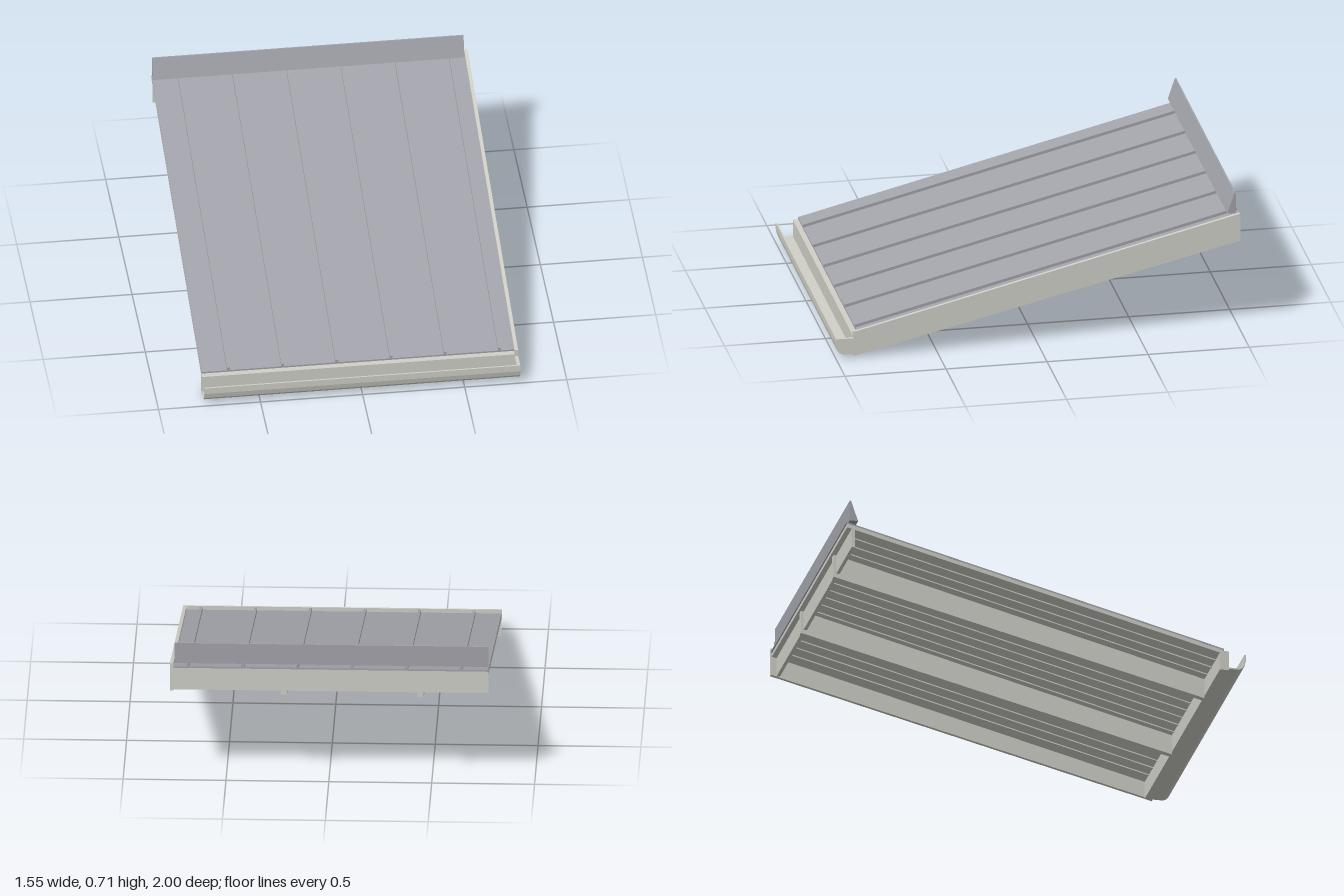
import * as THREE from 'three';

const cream = new THREE.MeshStandardMaterial({ color: 0xd0d0c8 });
cream.name = 'creamTrim';
const grey = new THREE.MeshStandardMaterial({ color: 0xa3a3ab });
grey.name = 'greyRoofMetal';

const LEFT = -0.775, RIGHT = 0.756;
const FRONT = 0.89, BACK = -1;

// height of the roof sheet at depth z
const roofY = (z) => 0.125 + 0.2487 * (FRONT - z);

// extrude a [z, y] outline across the roof from x0 to x1
function slab(name, outline, x0, x1, material) {
  const shape = new THREE.Shape(outline.map(([z, y]) => new THREE.Vector2(z, y)));
  const geo = new THREE.ExtrudeGeometry(shape, { depth: x1 - x0, bevelEnabled: false });
  geo.rotateY(-Math.PI / 2);
  geo.translate(x1, 0, 0);
  const mesh = new THREE.Mesh(geo, material);
  mesh.name = name;
  return mesh;
}

// sloping bar that follows the roof, between two offsets from its surface
function sloped(name, x0, x1, zFront, zBack, low, high, material) {
  return slab(name, [
    [zFront, roofY(zFront) + low], [zFront, roofY(zFront) + high],
    [zBack, roofY(zBack) + high], [zBack, roofY(zBack) + low],
  ], x0, x1, material);
}

export function createModel() {
  const model = new THREE.Group();
  model.name = 'leanToRoof';

  // roof sheet, deck below it
  model.add(sloped('roofSheet', LEFT, RIGHT, FRONT, BACK, -0.008, 0, grey));
  model.add(sloped('roofDeck', LEFT, RIGHT, FRONT - 0.005, BACK + 0.005, -0.028, -0.0082, cream));

  // standing seams
  for (let i = 0; i < 6; i++) {
    const x = -0.643 + i * 0.2655;
    model.add(sloped('standingSeam', x - 0.007, x + 0.007, FRONT, BACK, -0.004, 0.015, grey));
  }

  // narrow battens under the deck
  for (let i = 1; i < 18; i++) {
    const x = LEFT + i * (RIGHT - LEFT) / 18;
    model.add(sloped('deckBatten', x - 0.004, x + 0.004, 0.87, -0.955, -0.034, -0.027, cream));
  }

  // rafters
  for (const x of [-0.445, 0.22]) {
    model.add(slab('rafter', [
      [0.87, 0], [0.87, roofY(0.87) - 0.02],
      [-0.985, roofY(-0.985) - 0.02], [-0.985, 0.445],
    ], x - 0.015, x + 0.015, cream));
  }

  // boards closing the eave and the top end
  model.add(slab('eaveBoard', [
    [0.915, 0.012], [0.915, 0.113], [0.87, 0.113], [0.87, 0.012],
  ], LEFT, RIGHT, cream));
  model.add(slab('backBoard', [
    [-0.955, 0.463], [-0.955, 0.563], [-0.972, 0.563], [-0.972, 0.463],
  ], LEFT, RIGHT, cream));

  // gutter trough, open at the top and at one end
  const outer = [[0.915, 0.02], [0.965, 0.02], [0.982, 0.028], [0.993, 0.042], [1, 0.07], [1, 0.103]];
  const inner = [[0.992, 0.103], [0.992, 0.072], [0.986, 0.046], [0.977, 0.034], [0.963, 0.027], [0.915, 0.027]];
  model.add(slab('gutter', [...outer, ...inner], LEFT, RIGHT, cream));

  // side board with the gutter end cap
  model.add(slab('sideBoard', [
    [0.91, 0.01], [0.91, 0.02], ...outer.slice(1), [0.915, 0.103], [0.915, 0.137], [0.89, 0.141],
    [BACK, 0.61], [BACK, 0.468],
  ], RIGHT, 0.773, cream));

  // wedge flashing along the top edge
  model.add(slab('ridgeFlashing', [
    [-0.94, 0.605], [-0.975, 0.71], [-0.982, 0.71], [-0.982, 0.605],
  ], LEFT, 0.75, grey));

  return model;
}
